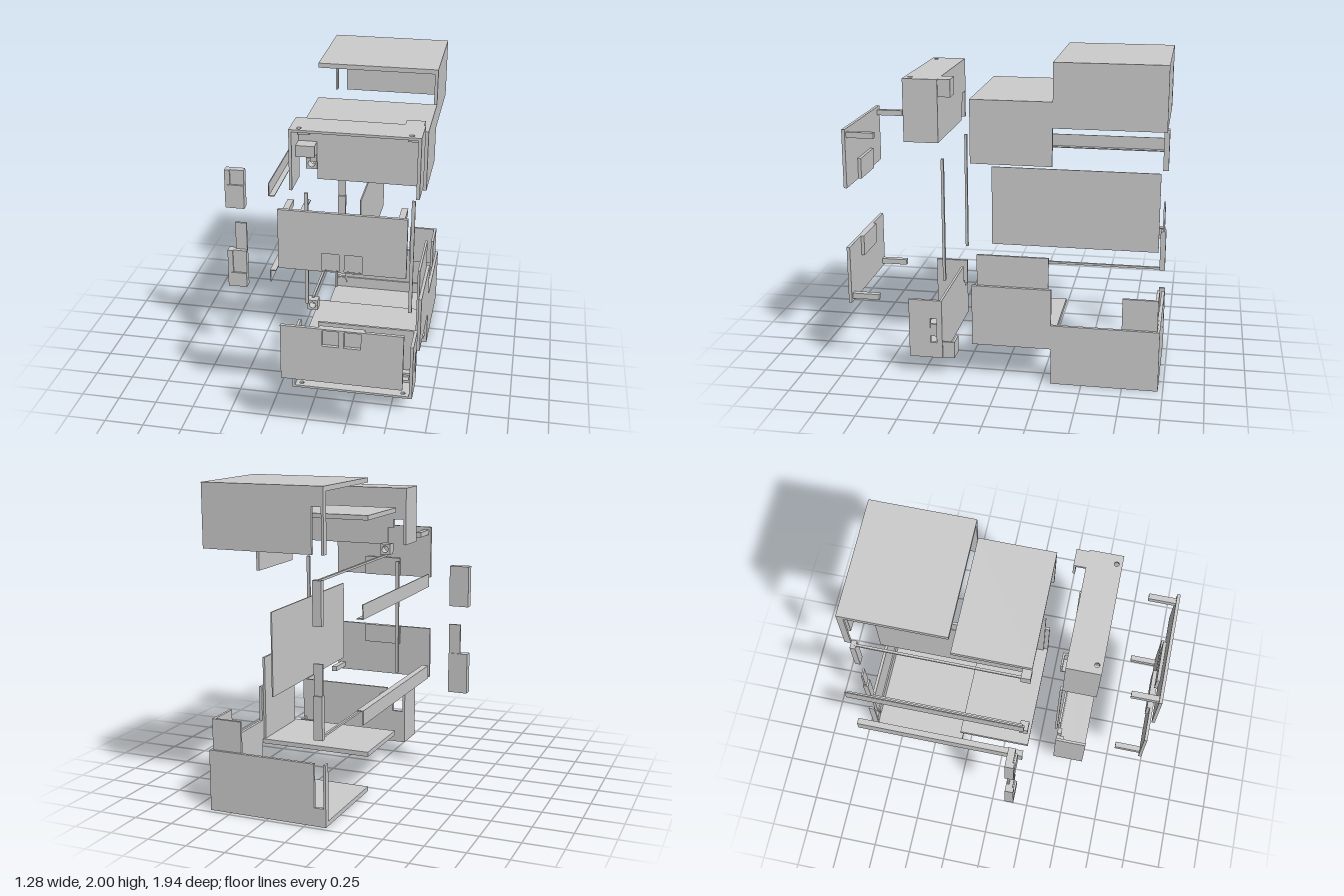
import * as THREE from 'three';

const mat = new THREE.MeshStandardMaterial({ color: 0xcccccc, flatShading: true });

export function createModel() {
  const root = new THREE.Group();
  root.name = 'explodedEnclosure';

  // Box from its limits on each axis
  const box = (parent, name, x0, x1, y0, y1, z0, z1) => {
    const m = new THREE.Mesh(new THREE.BoxGeometry(x1 - x0, Math.abs(y1 - y0), z1 - z0), mat);
    m.position.set((x0 + x1) / 2, (y0 + y1) / 2, (z0 + z1) / 2);
    m.name = name;
    parent.add(m);
    return m;
  };

  const rect = (T, a0, a1, b0, b1) => {
    const s = new T();
    s.moveTo(a0, b0); s.lineTo(a1, b0); s.lineTo(a1, b1); s.lineTo(a0, b1); s.closePath();
    return s;
  };

  // Flat plate with holes, extruded along z
  const plate = (parent, name, outer, holes, depth) => {
    const s = rect(THREE.Shape, ...outer);
    s.holes = holes;
    const g = new THREE.ExtrudeGeometry(s, { depth, bevelEnabled: false, curveSegments: 10 });
    const m = new THREE.Mesh(g, mat);
    m.name = name;
    parent.add(m);
    return m;
  };
  const circle = (x, y, r) => new THREE.Path().absarc(x, y, r, 0, Math.PI * 2, true);

  const group = (name) => {
    const g = new THREE.Group();
    g.name = name;
    root.add(g);
    return g;
  };

  // The halves mirror about y = 1; heights are given for the lower one
  for (const top of [false, true]) {
    const side = top ? 'upper' : 'lower';
    const Y = (y) => (top ? 2 - y : y);
    const b = (p, name, x0, x1, y0, y1, z0, z1) => box(p, name, x0, x1, Y(y0), Y(y1), z0, z1);

    // Rear shell: cover plate, side wall, back wall with a post slot
    const rear = group(side + 'RearShell');
    b(rear, 'coverPlate', -0.13, 0.64, 0, 0.03, -0.97, -0.31);
    b(rear, 'sideWall', 0.62, 0.64, 0.03, 0.385, -0.97, -0.31);
    b(rear, 'backWall', -0.055, 0.62, 0.03, 0.385, -0.97, -0.95);
    b(rear, 'backWallAboveSlot', -0.13, -0.055, 0.03, 0.115, -0.97, -0.95);
    b(rear, 'slotStrip', -0.13, -0.115, 0.03, 0.385, -0.97, -0.93);
    b(rear, 'innerRib', -0.04, 0.61, 0.035, 0.115, -0.95, -0.94);
    const boss = new THREE.Mesh(new THREE.CylinderGeometry(0.04, 0.04, 0.01, 24), mat);
    boss.rotation.x = Math.PI / 2;
    boss.position.set(-0.083, Y(0.075), -0.945);
    boss.name = 'roundBoss';
    rear.add(boss);

    // Middle shell: cover plate and one side wall
    const mid = group(side + 'MiddleShell');
    b(mid, 'coverPlate', -0.13, 0.64, 0.23, 0.26, -0.31, 0.18);
    b(mid, 'sideWall', 0.62, 0.64, 0.26, 0.615, -0.31, 0.18);

    // Front hood, open to the front and towards the middle
    const hood = group(side + 'FrontHood');
    const cover = plate(hood, 'coverPlate', [-0.13, 0.64, -0.58, -0.37],
      [circle(-0.075, -0.545, 0.015), circle(0.58, -0.545, 0.015)], 0.015);
    cover.rotation.x = -Math.PI / 2;
    cover.position.y = top ? 1.865 : 0.12;
    b(hood, 'rightWall', -0.13, -0.113, 0.135, 0.5, 0.37, 0.58);
    if (top) {
      b(hood, 'leftWall', 0.62, 0.64, 0.135, 0.5, 0.37, 0.58);
    } else {
      const wall = plate(hood, 'slottedWall', [-0.58, -0.37, 0.135, 0.5],
        [rect(THREE.Path, -0.445, -0.405, 0.22, 0.38)], 0.02);
      wall.rotation.y = Math.PI / 2;
      wall.position.x = 0.62;
      b(hood, 'switchBody', 0.615, 0.632, 0.26, 0.34, 0.405, 0.445);
    }
    b(hood, 'backWall', 0, 0.62, 0.135, 0.5, 0.37, 0.385);
    b(hood, 'backWallCorner', -0.113, 0, 0.135, top ? 0.26 : 0.34, 0.37, 0.385);
    b(hood, 'windowTab', -0.04, 0, 0.26, 0.385, 0.37, 0.4);
    if (top) b(hood, 'socketBlock', -0.113, 0, 0.26, 0.33, 0.37, 0.47);
    else b(hood, 'socketBlock', -0.113, -0.04, 0.21, 0.33, 0.37, 0.42);
    // Hollow hook behind the hood
    b(hood, 'hookCover', 0.52, 0.63, 0.12, 0.135, 0.295, 0.37);
    b(hood, 'hookSide', 0.615, 0.63, 0.135, 0.225, 0.295, 0.37);
    b(hood, 'hookEnd', 0.52, 0.615, 0.135, 0.225, 0.295, 0.31);
    // Square sockets that take the panel pegs
    for (const x of [-0.075, 0.58]) {
      const y = Y(0.172);
      const s = plate(hood, 'pegSocket', [x - 0.035, x + 0.035, y - 0.035, y + 0.035],
        [rect(THREE.Path, x - 0.02, x + 0.02, y - 0.02, y + 0.02)], 0.04);
      s.position.z = 0.385;
    }

    // Front panel with two square recesses and pegs behind
    const panel = group(side + 'FrontPanel');
    const [r0, r1] = [Y(0.695), Y(0.8)];
    const face = plate(panel, 'panelFace', [-0.11, 0.62, Y(0.445), Y(0.81)],
      [rect(THREE.Path, 0.14, 0.24, r0, r1), rect(THREE.Path, 0.27, 0.37, r0, r1)], 0.02);
    face.position.z = 0.95;
    b(panel, 'recessBacking', 0.12, 0.39, 0.68, 0.81, 0.93, 0.95);
    for (const x of [-0.075, 0.58]) b(panel, 'peg', x - 0.018, x + 0.018, 0.465, 0.5, 0.78, 0.95);

    // L-section slide rail
    const rail = group(side + 'SlideRail');
    b(rail, 'railWeb', -0.36, -0.354, 0.65, 0.735, -0.95, 0.18);
    b(rail, 'railFlange', -0.36, -0.32, 0.73, 0.736, -0.95, 0.18);

    // Thin rod with a drilled block at its front end
    const link = group(side + 'LinkRod');
    b(link, 'rod', -0.09, -0.075, 0.528, 0.542, -0.95, 0.13);
    const yb = Y(0.495);
    const block = plate(link, 'rodBlock', [-0.115, -0.045, yb - 0.035, yb + 0.035],
      [circle(-0.08, yb, 0.022)], 0.06);
    block.position.z = 0.11;

    // Front corner post, stepped
    const post = group(side + 'FrontPost');
    const [p0, p1] = top ? [1.16, 1.42] : [0.59, 0.85];
    box(post, 'postBody', -0.61, -0.52, p0, p1, 0.12, 0.165);
    box(post, 'postFlange', -0.645, -0.61, p0, p1, 0.12, 0.175);
    if (top) box(post, 'postStep', -0.635, -0.52, 1.16, 1.32, 0.13, 0.178);
    else {
      box(post, 'postStep', -0.645, -0.52, 0.59, 0.69, 0.13, 0.178);
      box(post, 'postTongue', -0.595, -0.52, 0.85, 1.04, 0.125, 0.14);
    }

    // Rear corner post
    const back = group(side + 'RearPost');
    b(back, 'postBody', -0.11, -0.055, 0.53, 0.795, -0.965, -0.93);
    if (!top) box(back, 'postTongue', -0.11, -0.055, 0.79, 0.985, -0.955, -0.943);
  }

  // Inner extensions on the lower shells
  const ext = group('lowerExtensions');
  box(ext, 'sidePanel', 0.605, 0.62, 0.26, 0.81, -0.29, 0.15);
  box(ext, 'cornerSide', 0.605, 0.622, 0.3, 0.58, -0.955, -0.74);
  box(ext, 'cornerBack', 0.43, 0.605, 0.3, 0.58, -0.955, -0.938);

  // Divider sheet and the two tie rods
  box(root, 'dividerSheet', 0.221, 0.229, 0.75, 1.26, -0.93, 0.13);
  for (const x of [-0.075, 0.585]) box(root, 'tieRod', x - 0.011, x + 0.011, 0.62, 1.39, 0.352, 0.368);

  return root;
}
